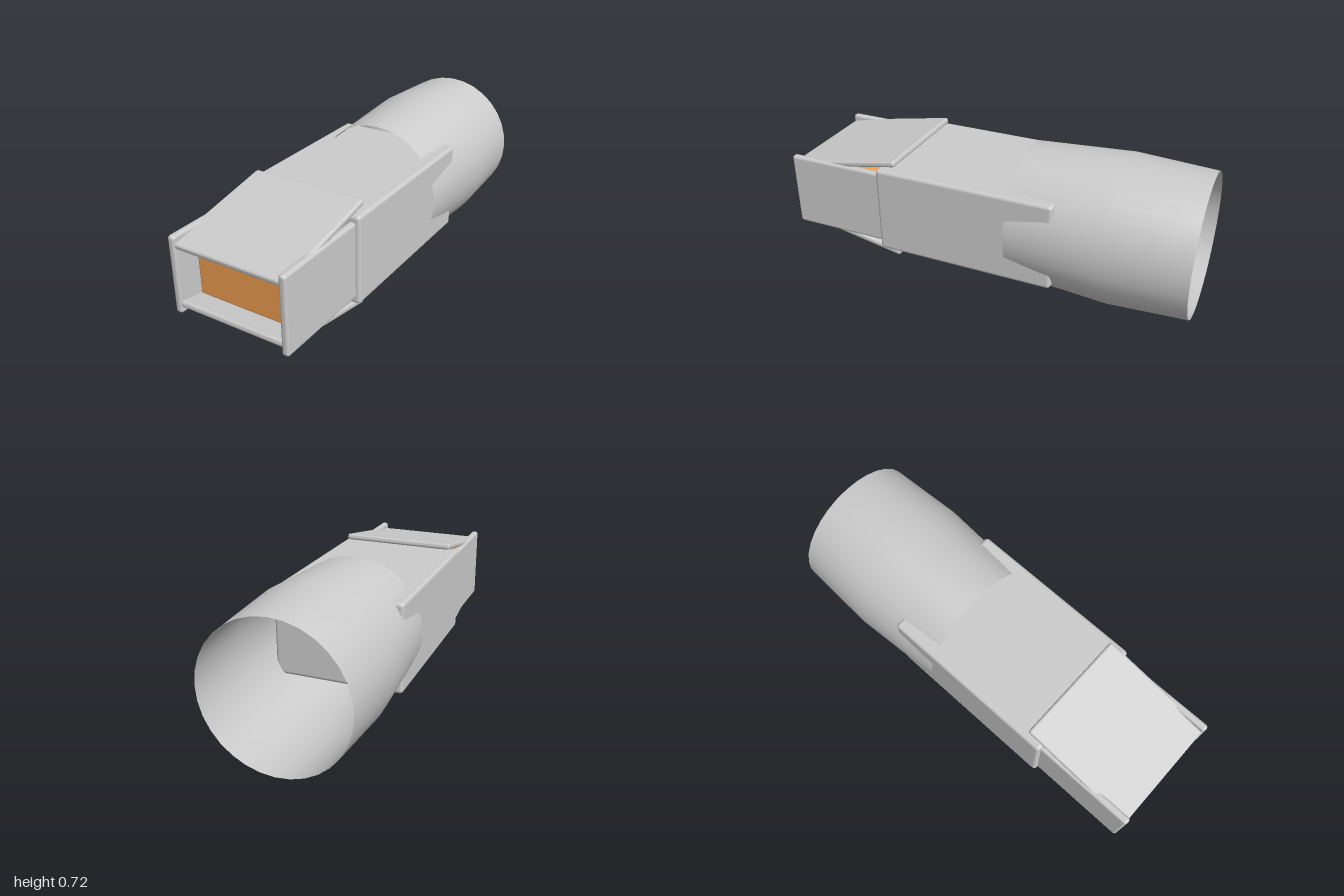
import * as THREE from 'three';
import { RoundedBoxGeometry } from 'three/addons/geometries/RoundedBoxGeometry.js';

const AXIS_Y = 0.363;

export function createModel() {
  const model = new THREE.Group();
  model.name = 'nozzleAdapter';
  const grey = new THREE.MeshStandardMaterial({ color: 0xcccccc });
  const shell = new THREE.MeshStandardMaterial({ color: 0xcccccc, side: THREE.DoubleSide });
  const orange = new THREE.MeshStandardMaterial({ color: 0xf0a050 });

  function add(name, geometry, material, x = 0, y = 0, z = 0) {
    const mesh = new THREE.Mesh(geometry, material);
    mesh.name = name;
    mesh.position.set(x, AXIS_Y + y, z);
    model.add(mesh);
    return mesh;
  }
  const slab = (w, h, d, r) => new RoundedBoxGeometry(w, h, d, 2, r);

  // Open round sleeve, slightly barrelled
  const profile = [[0.342, -1], [0.36, -0.62], [0.331, -0.15]]
    .map(([r, z]) => new THREE.Vector2(r, z));
  add('sleeve', new THREE.LatheGeometry(profile, 32).rotateX(Math.PI / 2), shell);

  // Main body, its corners breaking through the sleeve
  add('body', slab(0.63, 0.434, 0.89, 0.018), grey, 0, 0, 0.067);

  // Upright cheeks either side of the mouth
  for (const side of [-1, 1]) {
    add(side > 0 ? 'leftCheek' : 'rightCheek', slab(0.036, 0.372, 0.56, 0.014), grey, side * 0.278, 0, 0.72);
  }

  // Flared flaps above and below the mouth
  for (const side of [-1, 1]) {
    const flap = add(side > 0 ? 'topFlap' : 'bottomFlap', slab(0.57, 0.03, 0.58, 0.012), grey, 0, side * 0.192, 0.708);
    flap.rotation.x = side * 0.188;
  }

  // Coloured insert recessed in the mouth
  add('insert', slab(0.515, 0.29, 0.42, 0.01), orange, 0, 0, 0.67);

  return model;
}
